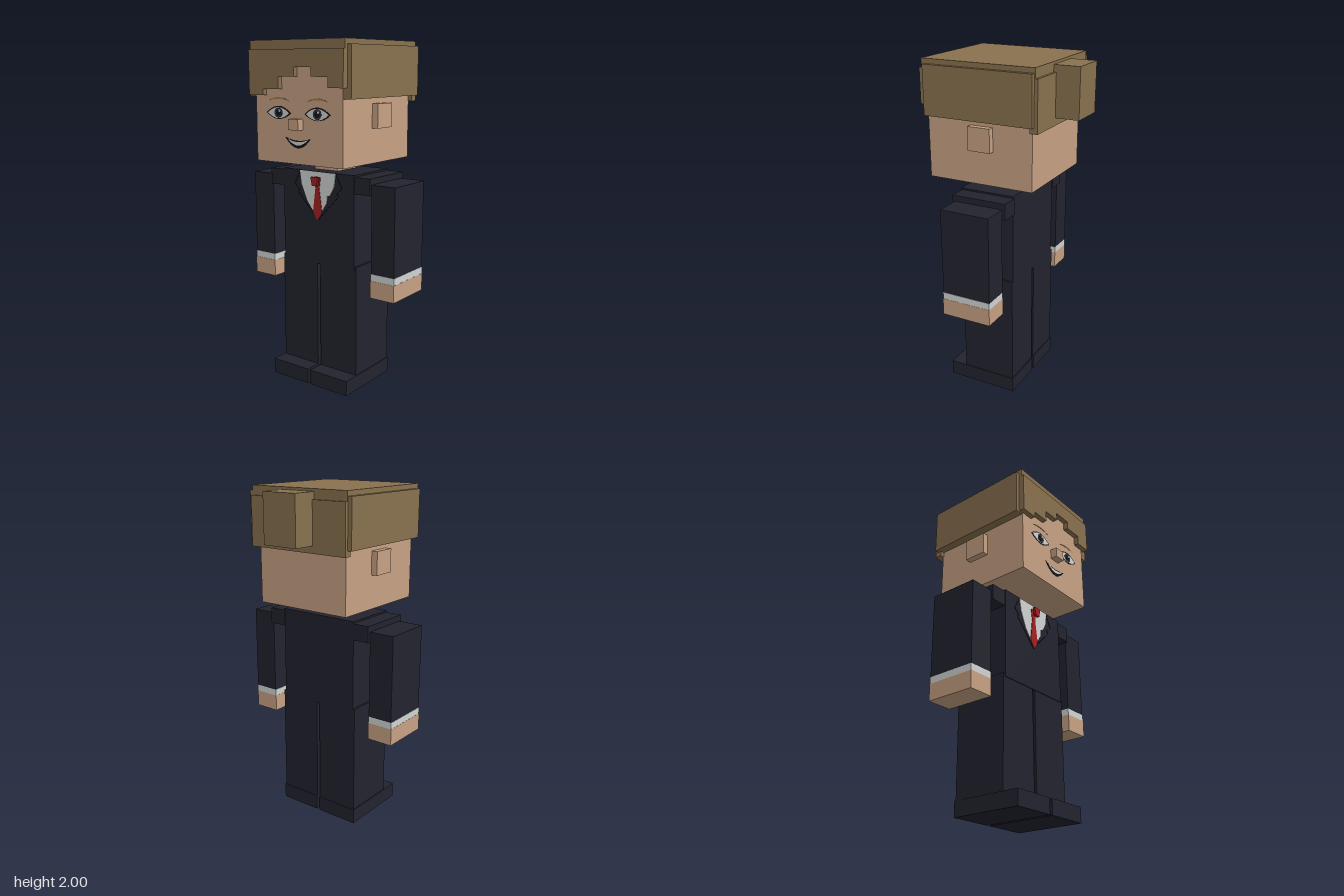
import * as THREE from 'three';

const mat = (name, color) => {
  const m = new THREE.MeshStandardMaterial({ color });
  m.name = name;
  return m;
};

export function createModel() {
  const model = new THREE.Group();
  model.name = 'suitedFigure';
  const hair = mat('hairBrown', 0x89714f);
  const skin = mat('skin', 0xc7a284);
  const suit = mat('suitNavy', 0x22232e);
  const white = mat('white', 0xd2d4d4);
  const red = mat('tieRed', 0xa32022);
  const ink = mat('ink', 0x14141a);
  const iris = mat('irisGrey', 0x34363f);
  const brow = mat('browBrown', 0xa07c56);

  // Box from its minimum and maximum corners
  const box = (name, m, x0, x1, y0, y1, z0, z1) => {
    const mesh = new THREE.Mesh(new THREE.BoxGeometry(x1 - x0, y1 - y0, z1 - z0), m);
    mesh.position.set((x0 + x1) / 2, (y0 + y1) / 2, (z0 + z1) / 2);
    mesh.name = name;
    model.add(mesh);
  };
  // Pair of boxes, one on each side
  const pair = (name, m, x0, x1, ...rest) => {
    box(name + 'Left', m, x0, x1, ...rest);
    box(name + 'Right', m, -x1, -x0, ...rest);
  };
  // Outline extruded forwards from z
  const plate = (name, m, shape, z, depth = 0.003, x = 0, y = 0) => {
    const geo = new THREE.ExtrudeGeometry(shape, { depth, bevelEnabled: false, curveSegments: 10 });
    const mesh = new THREE.Mesh(geo, m);
    mesh.position.set(x, y, z);
    mesh.name = name;
    model.add(mesh);
  };
  const poly = pts => new THREE.Shape(pts.map(p => new THREE.Vector2(p[0], p[1])));
  // Lens outline between two quadratic arcs of given mid heights
  const lens = (w, top, bottom) => {
    const s = new THREE.Shape();
    s.moveTo(-w, 0);
    s.quadraticCurveTo(0, bottom * 2, w, 0);
    s.quadraticCurveTo(0, top * 2, -w, 0);
    return s;
  };
  const disc = r => new THREE.Shape().absarc(0, 0, r, 0, Math.PI * 2);

  // Legs and shoes
  pair('leg', suit, 0.01, 0.27, 0.05, 0.745, -0.115, 0.215);
  pair('shoe', suit, 0.01, 0.275, 0, 0.09, -0.12, 0.315);

  // Torso, shoulders, arms
  box('torso', suit, -0.257, 0.257, 0.725, 1.27, -0.115, 0.22);
  pair('shoulder', suit, 0.25, 0.36, 1.165, 1.26, -0.12, 0.215);
  pair('sleeve', suit, 0.36, 0.512, 0.72, 1.225, -0.1, 0.2);
  pair('cuff', white, 0.358, 0.514, 0.68, 0.72, -0.1, 0.202);
  pair('hand', skin, 0.357, 0.515, 0.58, 0.68, -0.1, 0.204);

  // Shirt front, lapel seams and tie
  plate('shirt', white, poly([[-0.13, 1.268], [-0.118, 1.19], [-0.075, 1.09], [0, 0.995],
    [0.065, 1.09], [0.07, 1.135], [0.09, 1.14], [0.118, 1.19], [0.13, 1.268]]), 0.22);
  const seam = [[0.13, 1.265], [0.172, 1.185], [0.135, 1.155], [0.148, 1.14], [0, 0.985]];
  for (const s of [-1, 1]) {
    for (let i = 0; i < seam.length - 1; i++) {
      const [ax, ay] = seam[i], [bx, by] = seam[i + 1];
      const len = Math.hypot(bx - ax, by - ay);
      const nx = (by - ay) / len * 0.0025, ny = (ax - bx) / len * 0.0025;
      plate('lapelSeam', ink, poly([[s * (ax + nx), ay + ny], [s * (bx + nx), by + ny],
        [s * (bx - nx), by - ny], [s * (ax - nx), ay - ny]]), 0.22, 0.002);
    }
  }
  plate('tie', red, poly([[-0.024, 1.24], [-0.014, 1.17], [-0.033, 1.03], [0, 0.982],
    [0.033, 1.03], [0.014, 1.17], [0.024, 1.24]]), 0.222, 0.004);
  plate('tieKnot', red, poly([[-0.027, 1.24], [-0.016, 1.19], [0.016, 1.19], [0.027, 1.24]]), 0.24, 0.015);

  // Head
  box('neck', skin, -0.083, 0.083, 1.26, 1.34, -0.04, 0.142);
  box('head', skin, -0.305, 0.305, 1.33, 1.96, -0.255, 0.39);
  pair('ear', skin, 0.3, 0.342, 1.525, 1.66, -0.018, 0.12);
  box('nose', skin, -0.035, 0.035, 1.52, 1.58, 0.385, 0.432);

  // Eyes and brows
  for (const s of [-1, 1]) {
    const x = s * 0.137, y = 1.607;
    plate('eyeOutline', ink, lens(0.088, 0.038, -0.034), 0.39, 0.002, x, y);
    plate('eyeWhite', white, lens(0.078, 0.031, -0.03), 0.39, 0.003, x, y);
    plate('iris', iris, disc(0.029), 0.39, 0.004, x, y + 0.001);
    plate('pupil', ink, disc(0.018), 0.39, 0.005, x, y + 0.001);
    plate('eyeGlint', white, disc(0.007), 0.39, 0.006, x + 0.009, y + 0.012);
    plate('eyebrow', brow, lens(0.072, 0.019, 0.009), 0.39, 0.002, x, 1.674);
  }

  // Mouth
  plate('mouth', ink, lens(0.09, -0.016, -0.058), 0.39, 0.002, 0, 1.476);
  plate('teeth', white, lens(0.074, -0.017, -0.036), 0.39, 0.003, 0, 1.47);

  // Hair: cap, sides, back, stepped fringe and bun
  box('hairCap', hair, -0.33, 0.33, 1.93, 2, -0.28, 0.406);
  pair('hairSide', hair, 0.3, 0.355, 1.693, 1.972, -0.275, 0.385);
  box('hairBack', hair, -0.33, 0.33, 1.66, 1.945, -0.295, -0.25);
  box('hairBun', hair, -0.112, 0.112, 1.702, 1.985, -0.432, -0.27);
  plate('hairFringe', hair, poly([[-0.33, 1.95], [-0.33, 1.702], [-0.225, 1.702], [-0.225, 1.737],
    [-0.112, 1.737], [-0.112, 1.806], [0, 1.806], [0, 1.855], [0.115, 1.855], [0.115, 1.806],
    [0.228, 1.806], [0.228, 1.75], [0.33, 1.75], [0.33, 1.95]]), 0.385, 0.035);

  return model;
}
